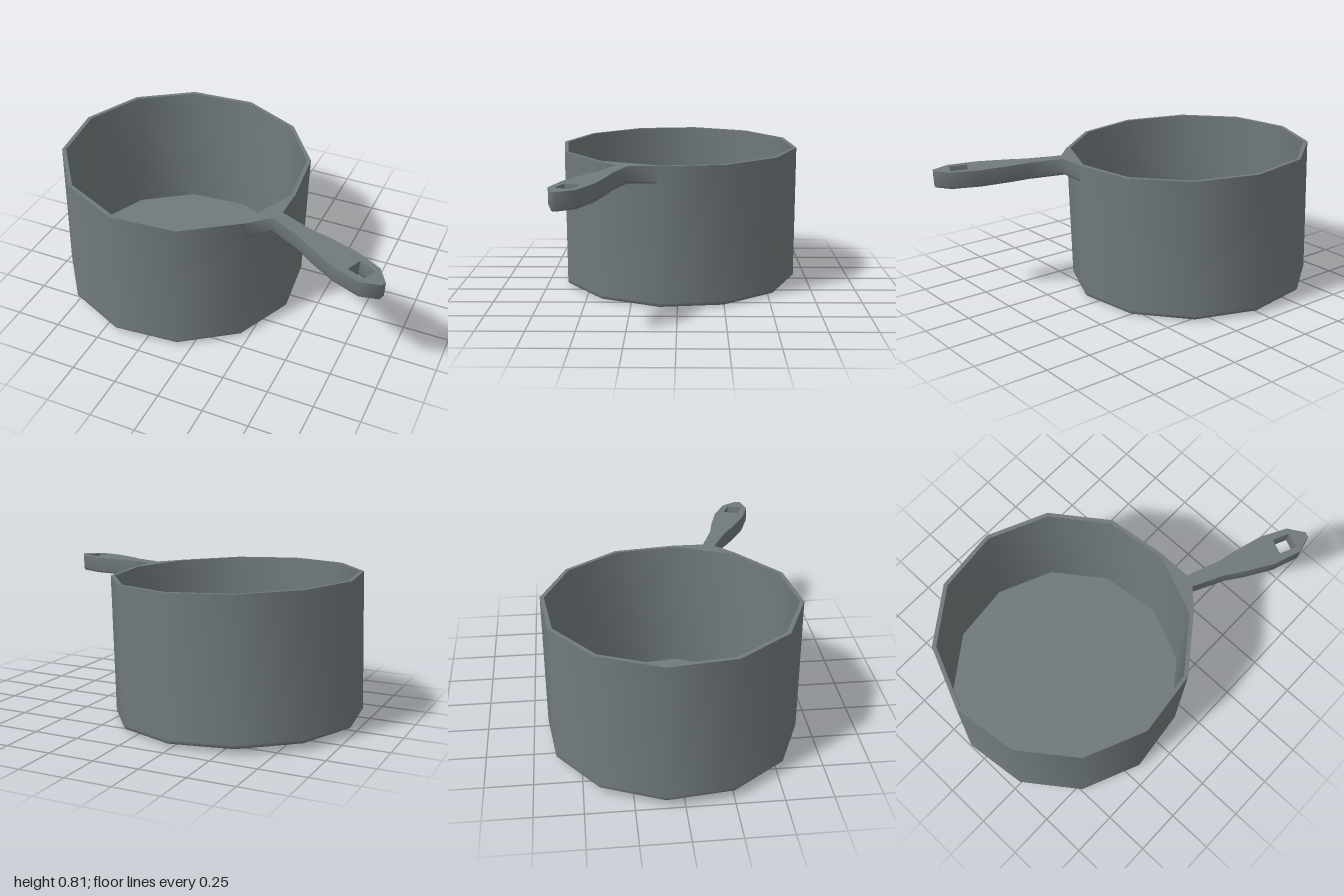
import * as THREE from 'three';
import { toCreasedNormals } from 'three/addons/utils/BufferGeometryUtils.js';

const HEIGHT = 0.765, RADIUS = 0.679, WALL = 0.022, FLOOR = 0.025;
const HANDLE_THICKNESS = 0.092, BEVEL = 0.012;

export function createModel() {
  const material = new THREE.MeshStandardMaterial({ color: 0x717a7c });
  const saucepan = new THREE.Group();
  saucepan.name = 'saucepan';

  const add = (name, geometry, crease) => {
    const mesh = new THREE.Mesh(toCreasedNormals(geometry, crease), material);
    mesh.name = name;
    saucepan.add(mesh);
  };

  // Twelve-sided pot: base with a softened edge, outside, rim, inside and floor
  const profile = [
    [0, 0], [RADIUS - 0.018, 0], [RADIUS - 0.01, 0], [RADIUS, 0.01], [RADIUS, 0.022],
    [RADIUS, HEIGHT], [RADIUS - WALL, HEIGHT], [RADIUS - WALL, FLOOR], [0, FLOOR],
  ].map(([r, y]) => new THREE.Vector2(r, y));
  add('pot', new THREE.LatheGeometry(profile, 12, Math.PI / 12), 0.9);

  // Handle along +x: flares out of one flat of the pot, narrows, then swells to the end
  const edge = [
    [0.64, 0.15], [0.656, 0.173], [0.714, 0.034], [0.905, 0.043],
    [1.007, 0.064], [1.172, 0.086], [1.328, 0.075], [1.411, 0.015],
  ];
  const outline = [
    ...edge.map(([x, w]) => new THREE.Vector2(x, -w)),
    ...edge.map(([x, w]) => new THREE.Vector2(x, w)).reverse(),
  ];
  const shape = new THREE.Shape(outline);
  // Hanging hole
  const hole = [[1.227, -0.043], [1.227, 0.043], [1.324, 0.043], [1.324, -0.043]];
  shape.holes.push(new THREE.Path(hole.map(([x, y]) => new THREE.Vector2(x, y))));

  const top = HANDLE_THICKNESS - BEVEL;
  const handle = new THREE.ExtrudeGeometry(shape, {
    depth: top, bevelThickness: BEVEL, bevelSize: 0.006, bevelOffset: -0.006, bevelSegments: 1,
  });
  // Flatten the upper bevel so the top stays sharp and only the underside is softened
  const pos = handle.attributes.position;
  for (let i = 0; i < pos.count; i++) pos.setZ(i, Math.min(pos.getZ(i), top));
  handle.rotateX(-Math.PI / 2);
  handle.translate(0, HEIGHT - top, 0.005);
  add('handle', handle, 1.25);

  // Turn the handle forward and lean the whole pan slightly towards it
  saucepan.rotation.set(0, THREE.MathUtils.degToRad(-23.2), -0.033, 'ZYX');
  saucepan.position.set(-0.328, 0.022, 0);

  const model = new THREE.Group();
  model.add(saucepan);
  return model;
}
